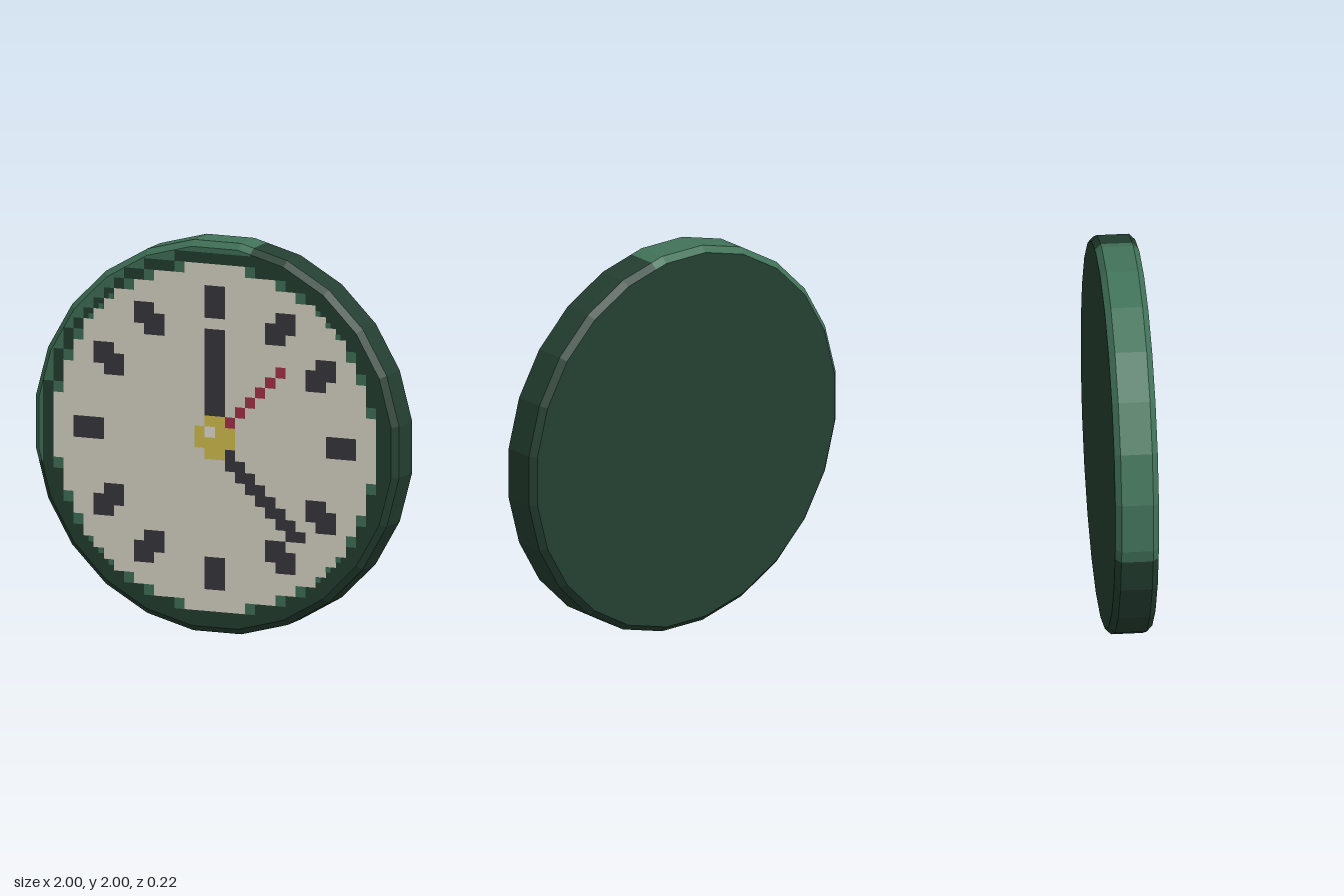
import * as THREE from 'three';
import { mergeGeometries } from 'three/addons/utils/BufferGeometryUtils.js';

const mat = (name, color) => {
  const m = new THREE.MeshStandardMaterial({ color, flatShading: true });
  m.name = name;
  return m;
};

const SIDES = 24, STEP = (Math.PI * 2) / SIDES;
const HALF = 0.11, BEVEL = 0.03, INNER = 1 - BEVEL;
const CELL = 1 / 18; // dial is laid out on a square grid, cell (0,0) just right of and above the centre
const DEG = Math.PI / 180;
const LIGHT_START = 78.5 * DEG, LIGHT_END = 191.5 * DEG;

// Point on the 24-sided outline at an angle, for a given flat-to-centre distance
function outline(angle, apothem) {
  const r = apothem / Math.cos(angle - Math.round(angle / STEP) * STEP);
  return [r * Math.cos(angle), r * Math.sin(angle)];
}

// Arc angles: both ends plus every outline corner between them
function arcAngles(start, end) {
  const list = [start];
  for (let k = 0; k < SIDES * 2; k++) {
    const a = (k + 0.5) * STEP;
    if (a > start + 1e-4 && a < end - 1e-4) list.push(a);
  }
  list.push(end);
  return list;
}

// Flat-faced bands joining a list of [z, apothem] rings along an arc
function bands(start, end, rings) {
  const angles = arcAngles(start, end), pos = [];
  for (let r = 0; r < rings.length - 1; r++) {
    for (let k = 0; k < angles.length - 1; k++) {
      const p = (ring, a) => [...outline(a, ring[1]), ring[0]];
      const a = p(rings[r], angles[k]), b = p(rings[r + 1], angles[k]);
      const c = p(rings[r + 1], angles[k + 1]), d = p(rings[r], angles[k + 1]);
      pos.push(...a, ...b, ...c, ...a, ...c, ...d);
    }
  }
  const g = new THREE.BufferGeometry();
  g.setAttribute('position', new THREE.Float32BufferAttribute(pos, 3));
  g.computeVertexNormals();
  return g;
}

// Flat squares for a list of grid positions
function tiles(cells, size, z) {
  return mergeGeometries(cells.map(([x, y]) =>
    new THREE.PlaneGeometry(size, size).translate(x * CELL, y * CELL, z)));
}

// Decide which part every dial cell belongs to
function layoutDial() {
  const cells = new Map();
  const put = (i, j, part) => cells.set(i + ',' + j, part);
  const block = (i, j, w, h, part) => {
    for (let a = 0; a < w; a++) for (let b = 0; b < h; b++) put(i + a, j + b, part);
  };
  // round dial, broken light edge, dark inner border
  for (let i = -18; i < 18; i++) for (let j = -18; j < 18; j++) {
    const r = Math.hypot(i + 0.5, j + 0.5);
    if (r < 15.8) put(i, j, 'dial');
    else if (r < 16) put(i, j, 'dialEdge');
    else if (r < 16.9) put(i, j, 'innerBorder');
  }
  // hour marks
  block(-1, 11, 2, 3, 'hourMarks');
  block(-1, -14, 2, 3, 'hourMarks');
  block(11, -1, 3, 2, 'hourMarks');
  block(-14, -1, 3, 2, 'hourMarks');
  for (const [i, j] of [[6, 10], [5, 9], [10, 6], [9, 5]])
    for (const x of [i, -i - 2]) for (const y of [j, -j - 2]) block(x, y, 2, 2, 'hourMarks');
  // hub, then hands
  block(-2, -2, 4, 4, 'hub');
  put(-2, 1, 'dial');
  put(-2, -2, 'dial');
  put(-1, 0, 'hubHighlight');
  block(-1, 2, 2, 8, 'minuteHand');
  for (let k = 1; k <= 8; k++) {
    put(k, -k - 1, 'hourHand');
    if (k < 8) put(k, -k - 2, 'hourHand');
  }
  for (let k = 1; k <= 6; k++) put(k, k, 'secondHand');
  return cells;
}

export function createModel() {
  const darkGreen = mat('dark green', 0x243f31);
  const lightGreen = mat('light green', 0x417259);
  const cream = mat('cream', 0xdcd9ca);
  const charcoal = mat('charcoal', 0x39373f);
  const red = mat('red', 0xa8324a);
  const yellow = mat('yellow', 0xd8c24f);
  const white = mat('off white', 0xeeebe0);

  const clock = new THREE.Group();
  clock.name = 'wallClock';
  const add = (name, geometry, material) => {
    const m = new THREE.Mesh(geometry, material);
    m.name = name;
    clock.add(m);
  };

  // bevelled rim, lighter on the upper right-hand arc
  const profile = [[HALF, INNER], [HALF - BEVEL, 1], [BEVEL - HALF, 1], [-HALF, INNER]];
  add('rimLight', bands(LIGHT_START, LIGHT_END, profile), lightGreen);
  add('rimDark', bands(LIGHT_END, LIGHT_START + Math.PI * 2, profile), darkGreen);

  // front and back discs
  const disc = () => new THREE.CircleGeometry(INNER / Math.cos(STEP / 2), SIDES, STEP / 2);
  add('frontPanel', disc().translate(0, 0, HALF), darkGreen);
  add('backPanel', disc().rotateY(Math.PI).translate(0, 0, -HALF), darkGreen);

  // light strip inside the rim
  add('frontHighlight', bands(LIGHT_START, LIGHT_END,
    [[HALF + 0.001, 0.9], [HALF + 0.001, INNER]]), lightGreen);

  // dial, marks and hands
  const materials = {
    dial: cream, dialEdge: lightGreen, innerBorder: darkGreen, hourMarks: charcoal, hub: yellow,
    hubHighlight: white, minuteHand: charcoal, hourHand: charcoal, secondHand: red,
  };
  const groups = {};
  for (const [key, part] of layoutDial()) {
    const [i, j] = key.split(',').map(Number);
    (groups[part] ??= []).push([i + 0.5, j + 0.5]);
  }
  for (const part in groups) add(part, tiles(groups[part], CELL, HALF + 0.003), materials[part]);

  // small light nicks in the stepped diagonals of the dial edge
  const nicks = [];
  for (const [x, y] of [[10.25, 12.25], [11.25, 11.25], [12.25, 10.25]])
    for (const sx of [1, -1]) for (const sy of [1, -1]) nicks.push([x * sx, y * sy]);
  add('dialEdgeNicks', tiles(nicks, CELL / 2, HALF + 0.005), lightGreen);

  clock.position.y = 1;
  const model = new THREE.Group();
  model.name = 'clock';
  model.add(clock);
  return model;
}
